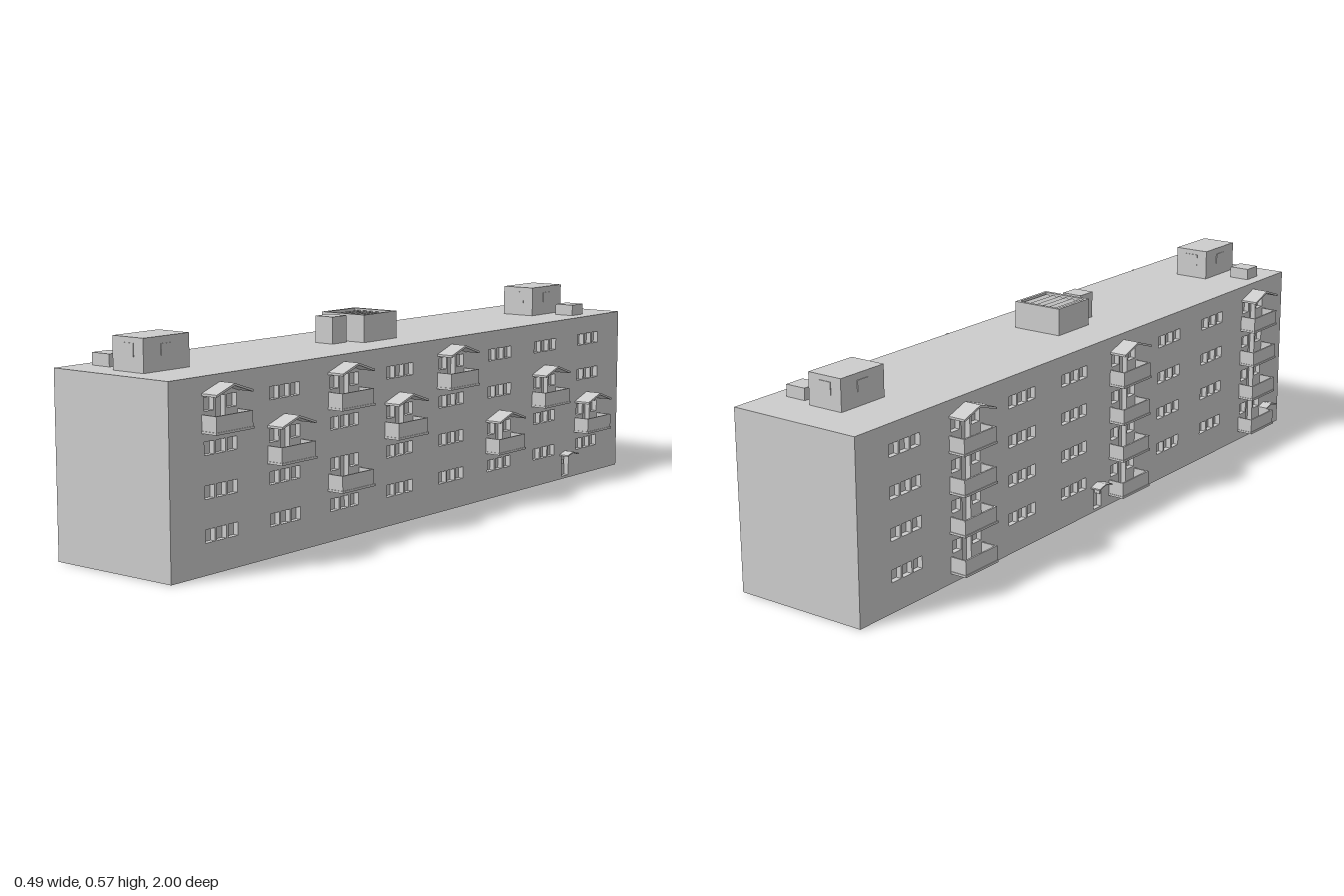
import * as THREE from 'three';

const concrete = new THREE.MeshStandardMaterial({ color: 0xcccccc });
concrete.name = 'concrete grey';

const LEFT = 0.192, RIGHT = -0.195, WALL = 0.015, TOP = 0.485;
const FLOOR = 0.1067; // storey height
const columns = Array.from({ length: 8 }, (_, i) => 0.823 - i * 0.2351);

export function createModel() {
  const model = new THREE.Group();
  model.name = 'apartmentBlock';

  const add = (parent, name, geometry) => {
    const mesh = new THREE.Mesh(geometry, concrete);
    mesh.name = name;
    parent.add(mesh);
    return mesh;
  };
  // Box from its limits; each pair may come in either order
  const box = (parent, name, x0, x1, y0, y1, z0, z1) => add(parent, name,
    new THREE.BoxGeometry(Math.abs(x1 - x0), y1 - y0, Math.abs(z1 - z0))
      .translate((x0 + x1) / 2, (y0 + y1) / 2, (z0 + z1) / 2));
  const rect = (Type, u0, u1, v0, v1) => new Type([
    [u0, v0], [u1, v0], [u1, v1], [u0, v1]].map(p => new THREE.Vector2(...p)));
  const group = (name) => {
    const g = new THREE.Group();
    g.name = name;
    model.add(g);
    return g;
  };

  // Small gable canopy whose ridge runs out from the wall
  const canopy = (parent, name, side, z, half, eave, ridge, reach, thick) => {
    const wallX = side > 0 ? LEFT : RIGHT;
    const s = new THREE.Shape([[-half, eave], [0, ridge - thick], [half, eave],
      [half, eave + thick], [0, ridge], [-half, eave + thick]].map(p => new THREE.Vector2(...p)));
    const g = new THREE.ExtrudeGeometry(s, { depth: reach, bevelEnabled: false })
      .rotateY(Math.PI / 2).translate(side > 0 ? wallX : wallX - reach, 0, z);
    add(parent, name, g);
  };

  // Open balcony: floor slab with a slight lip and three parapets
  const balcony = (side, z, floor, roofed) => {
    const g = group('balcony');
    const x0 = side > 0 ? LEFT : RIGHT, x1 = x0 + side * 0.047;
    const y = 0.028 + floor * FLOOR, t = 0.005, h = 0.065;
    box(g, 'balconyFloor', x0, x1 + side * 0.002, y, y + 0.006, z - h - 0.002, z + h + 0.002);
    box(g, 'frontParapet', x1 - side * t, x1, y + 0.006, y + 0.045, z - h, z + h);
    for (const k of [-1, 1])
      box(g, 'sideParapet', x0, x1 - side * t, y + 0.006, y + 0.045, z + k * h, z + k * (h - t));
    if (roofed) canopy(g, 'balconyRoof', side, z, 0.065, y + 0.09, y + 0.118, 0.049, 0.006);
  };

  // Facade slab with window and door openings, shape u axis = -z
  const facade = (side, balconies, doors) => {
    const shape = rect(THREE.Shape, -1, 1, 0, TOP);
    columns.forEach((z, c) => {
      for (let f = 0; f < 4; f++) {
        const y = 0.08 + f * FLOOR;
        const hasDoor = balconies.some(b => b[0] === c && b[1] === f);
        for (const k of [-1, 0, 1]) {
          const u = -z + k * 0.0405;
          const low = hasDoor && k === 0 ? y - 0.045 : y;
          shape.holes.push(rect(THREE.Path, u - 0.017, u + 0.017, low, y + 0.033));
        }
      }
    });
    for (const z of doors)
      shape.holes.push(rect(THREE.Path, -z - 0.019, -z + 0.019, 0.008, 0.071));
    const g = new THREE.ExtrudeGeometry(shape, { depth: WALL, bevelEnabled: false })
      .rotateY(Math.PI / 2).translate(side > 0 ? LEFT - WALL : RIGHT, 0, 0);
    add(model, side > 0 ? 'leftFacade' : 'rightFacade', g);

    for (const [c, f, roofed] of balconies) balcony(side, columns[c], f, roofed);
    for (const z of doors) {
      const porch = group('entrance');
      const x = side > 0 ? LEFT : RIGHT;
      canopy(porch, 'entranceRoof', side, z, 0.031, 0.073, 0.085, 0.03, 0.004);
      box(porch, 'doorHandle', x - side * WALL, x + side * 0.002, 0.047, 0.06, z + 0.009, z + 0.013);
    }
  };

  // Main block between the two facades
  box(model, 'mainBlock', RIGHT + WALL, LEFT - WALL, 0, TOP, -1, 1);
  facade(1, [[0, 3, true], [1, 2, true], [2, 3, true], [2, 1, false], [3, 2, true],
    [4, 3, true], [5, 1, true], [6, 2, true], [7, 1, true]], [-0.706]);
  const stacks = [];
  for (const c of [0, 3, 6])
    for (let f = 0; f < 4; f++) stacks.push([c, f, f === 3]);
  facade(-1, stacks, [-0.005, 0.91]);

  // Stair heads at both ends of the roof, with panes on every side
  for (const [x, z] of [[0, 0.86], [0.003, -0.802]]) {
    const g = group('stairHead');
    const hx = 0.052, hz = 0.079;
    box(g, 'stairHeadWalls', x - hx, x + hx, TOP, 0.57, z - hz, z + hz);
    for (const k of [-1, 1]) {
      box(g, 'endPane', x - 0.02, x + 0.02, 0.523, 0.556, z + k * hz, z + k * (hz + 0.002));
      box(g, 'sidePane', x + k * hx, x + k * (hx + 0.002), 0.523, 0.552, z - 0.02, z + 0.02);
    }
  }

  // Low roof boxes
  box(model, 'roofBox', -0.16, -0.1, TOP, 0.517, 0.848, 0.905);
  box(model, 'roofBox', 0.088, 0.148, TOP, 0.517, -0.862, -0.803);

  // Central ventilation unit: open frame with tilted slats
  const vent = group('ventilationUnit');
  const frame = rect(THREE.Shape, -0.068, 0.08, -0.13, 0.013);
  frame.holes.push(rect(THREE.Path, -0.059, 0.071, -0.119, 0.003));
  add(vent, 'ventFrame', new THREE.ExtrudeGeometry(frame, { depth: 0.56 - TOP, bevelEnabled: false })
    .rotateX(-Math.PI / 2).translate(0, TOP, 0));
  box(vent, 'ventFloor', -0.06, 0.072, TOP, 0.54, -0.004, 0.12);
  for (let i = 0; i < 6; i++) {
    const slat = add(vent, 'ventSlat', new THREE.BoxGeometry(0.018, 0.003, 0.122));
    slat.position.set(-0.048 + i * 0.0215, 0.55, 0.058);
    slat.rotation.z = 0.5;
  }
  box(model, 'ventShaft', -0.026, 0.034, TOP, 0.558, 0.15, 0.208);

  return model;
}
